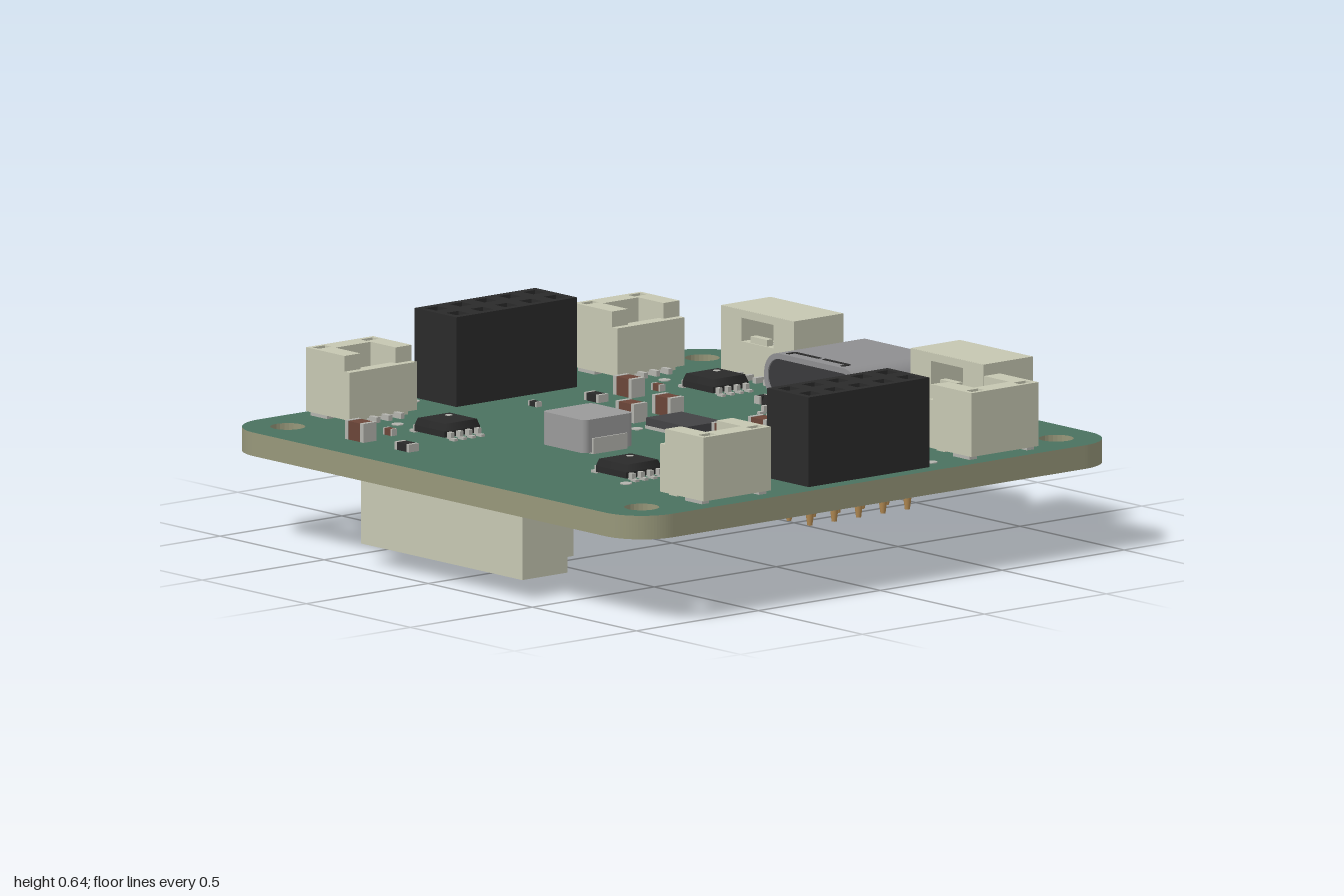
import * as THREE from 'three';

const mats = {};
const mat = c => (mats[c] ??= new THREE.MeshStandardMaterial({ color: c }));
const IVORY = 0xc6c7b2, BEIGE = 0xc6bba6, BLACK = 0x2a2a2a, STEEL = 0x8e8e90, TIN = 0xb4b4ae, GOLD = 0xb58c54, BROWN = 0x6b4538;
const BOTTOM = 0.28, TOP = 0.355;

function mesh(geo, color, name) {
  const m = new THREE.Mesh(geo, Array.isArray(color) ? color.map(mat) : mat(color));
  m.name = name;
  return m;
}
// Box given by its centre in x and z and its lower and upper y
function box(g, name, color, x, z, w, d, y0, y1) {
  const m = mesh(new THREE.BoxGeometry(w, y1 - y0, d), color, name);
  m.position.set(x, (y0 + y1) / 2, z);
  g.add(m);
  return m;
}
function rect(path, x, y, w, h, r = 0) {
  const a = x - w / 2, b = x + w / 2, c = y - h / 2, d = y + h / 2;
  path.moveTo(a + r, c).lineTo(b - r, c);
  if (r) path.absarc(b - r, c + r, r, -Math.PI / 2, 0);
  path.lineTo(b, d - r);
  if (r) path.absarc(b - r, d - r, r, 0, Math.PI / 2);
  path.lineTo(a + r, d);
  if (r) path.absarc(a + r, d - r, r, Math.PI / 2, Math.PI);
  path.lineTo(a, c + r);
  if (r) path.absarc(a + r, c + r, r, Math.PI, Math.PI * 1.5);
  return path;
}
const hole = (x, y, w, h, r) => rect(new THREE.Path(), x, y, w, h, r);
// Upright extrusion of a plan shape from y0 to y1
function slab(g, name, color, shape, y0, y1) {
  const geo = new THREE.ExtrudeGeometry(shape, { depth: y1 - y0, bevelEnabled: false, curveSegments: 12 });
  const m = mesh(geo.rotateX(-Math.PI / 2).translate(0, y0, 0), color, name);
  g.add(m);
  return m;
}
function part(name, build) {
  const g = new THREE.Group();
  g.name = name;
  build(g);
  return g;
}

// Upward-opening cable connector, solder legs toward +x
const uprightConnector = n => part('uprightConnector', g => {
  const W = 0.175 + 0.05 * (n - 1), cav = W - 0.13;
  const low = rect(new THREE.Shape(), 0, 0, 0.21, W);
  low.holes.push(hole(0.01, 0, 0.1, cav));
  for (const s of [-1, 1]) low.holes.push(hole(-0.075, s * (W / 2 - 0.04), 0.03, 0.05));
  slab(g, 'housing', IVORY, low, 0.012, 0.165);
  const rim = new THREE.Shape();
  [[-0.105, -W / 2], [0.08, -W / 2], [0.08, -cav / 2], [-0.04, -cav / 2], [-0.04, cav / 2], [0.08, cav / 2], [0.08, W / 2], [-0.105, W / 2]]
    .forEach(([x, y], i) => (i ? rim.lineTo(x, y) : rim.moveTo(x, y)));
  for (const s of [-1, 1]) rim.holes.push(hole(-0.075, s * (W / 2 - 0.04), 0.03, 0.05));
  slab(g, 'rim', IVORY, rim, 0.165, 0.215);
  box(g, 'foot', IVORY, 0.075, 0, 0.04, W * 0.8, 0, 0.02);
  for (let i = 0; i < n; i++) {
    const z = (i - (n - 1) / 2) * 0.05;
    box(g, 'leg', TIN, 0.105, z, 0.07, 0.016, 0, 0.018);
    box(g, 'contact', TIN, 0.02, z, 0.045, 0.014, 0.02, 0.12);
  }
  for (const s of [-1, 1]) box(g, 'anchor', TIN, -0.05, s * (W / 2 - 0.02), 0.08, 0.03, 0, 0.02);
});

// Side-entry cable connector, mouth toward -z
const sideConnector = () => part('sideConnector', g => {
  const W = 0.35;
  box(g, 'floor', IVORY, 0, 0, W, 0.2, 0.01, 0.045);
  box(g, 'roof', IVORY, 0, 0, W, 0.2, 0.195, 0.215);
  for (const s of [-1, 1]) {
    box(g, 'sideWall', IVORY, s * 0.155, 0, 0.04, 0.2, 0.01, 0.215);
    box(g, 'guide', IVORY, s * 0.115, 0.01, 0.04, 0.14, 0.045, 0.09);
    box(g, 'anchor', TIN, s * 0.175, -0.03, 0.02, 0.09, 0, 0.06);
  }
  const wall = rect(new THREE.Shape(), 0, 0.112, W, 0.205);
  wall.holes.push(hole(0, 0.152, 0.155, 0.075));
  const m = mesh(new THREE.ExtrudeGeometry(wall, { depth: 0.035, bevelEnabled: false }), IVORY, 'rearWall');
  m.position.z = 0.068;
  g.add(m);
  box(g, 'latch', IVORY, 0, 0.085, 0.08, 0.025, 0.11, 0.135);
  for (let i = 0; i < 4; i++) {
    const x = (i - 1.5) * 0.05;
    box(g, 'leg', TIN, x, 0.115, 0.016, 0.045, 0, 0.018);
    box(g, 'contact', TIN, x, 0.005, 0.016, 0.13, 0.075, 0.09);
  }
});

// Two by five socket header with pins through the board
const socketHeader = () => part('socketHeader', g => {
  const top = rect(new THREE.Shape(), 0, 0, 0.2, 0.495);
  box(g, 'body', BLACK, 0, 0, 0.2, 0.495, 0, 0.22);
  for (const x of [-0.05, 0.05]) for (let i = -2; i <= 2; i++) {
    top.holes.push(hole(x, i * 0.1, 0.05, 0.05));
    box(g, 'contact', GOLD, x, i * 0.1, 0.012, 0.022, 0.22, 0.265);
    const pin = mesh(new THREE.CylinderGeometry(0.016, 0.008, 0.06, 8), GOLD, 'pin');
    pin.position.set(x, BOTTOM - TOP - 0.03, i * 0.1);
    g.add(pin);
  }
  slab(g, 'socketFace', BLACK, top, 0.22, 0.285);
});

// Chip with rows of gull-wing legs along its two x sides
const leggedChip = (w, d, h, legs, pitch) => part('leggedChip', g => {
  box(g, 'body', BLACK, 0, 0, w, d, 0.008, h * 0.55);
  const cap = mesh(new THREE.CylinderGeometry(Math.SQRT1_2 * 0.9, Math.SQRT1_2, 1, 4, 1).rotateY(Math.PI / 4), BLACK, 'bodyTop');
  cap.scale.set(w, h * 0.45, d);
  cap.position.y = h * 0.775;
  g.add(cap);
  const dot = mesh(new THREE.CylinderGeometry(0.012, 0.012, 0.002, 12), TIN, 'pinMark');
  dot.position.set(-w * 0.25, h, -d * 0.25);
  g.add(dot);
  for (const s of [-1, 1]) for (let i = 0; i < legs; i++) {
    const z = (i - (legs - 1) / 2) * pitch;
    box(g, 'legShoulder', TIN, s * (w / 2 + 0.008), z, 0.02, 0.015, 0.004, h * 0.5);
    box(g, 'legFoot', TIN, s * (w / 2 + 0.022), z, 0.026, 0.015, 0, 0.008);
  }
});

const flatChip = (w, d, h, color, edge) => part('flatChip', g => {
  box(g, 'body', color, 0, 0, w, d, 0.004, h);
  box(g, 'pads', edge, 0, 0, w + 0.006, d + 0.006, 0, 0.01);
});

// Small end-terminated passive, long side on x
const passive = (w, d, h, color) => part('passive', g => {
  box(g, 'body', color, 0, 0, w * 0.66, d * 0.97, 0, h * 0.98);
  for (const s of [-1, 1]) box(g, 'terminal', TIN, s * w * 0.415, 0, w * 0.17, d, 0, h);
});

// Metal-shelled data port, mouth toward -z
const dataPort = () => part('dataPort', g => {
  const shell = rect(new THREE.Shape(), 0, 0.078, 0.45, 0.152, 0.07);
  shell.holes.push(hole(0, 0.078, 0.415, 0.117, 0.055));
  g.add(mesh(new THREE.ExtrudeGeometry(shell, { depth: 0.36, bevelEnabled: false, curveSegments: 12 }).translate(0, 0, -0.18), STEEL, 'shell'));
  const rear = rect(new THREE.Shape(), 0, 0.078, 0.415, 0.117, 0.055);
  g.add(mesh(new THREE.ExtrudeGeometry(rear, { depth: 0.17, bevelEnabled: false }).translate(0, 0, 0.005), 0x3a3a3c, 'rearPlug'));
  box(g, 'tongue', BLACK, 0, -0.08, 0.3, 0.17, 0.06, 0.095);
  box(g, 'base', 0x3a3a3c, 0, 0.12, 0.36, 0.11, 0, 0.03);
  for (const s of [-1, 1]) {
    box(g, 'shellSlot', BLACK, s * 0.07, 0.135, 0.12, 0.014, 0.15, 0.156);
    box(g, 'shellSlotEnd', BLACK, s * 0.13, 0.15, 0.014, 0.03, 0.15, 0.156);
    for (const z of [-0.06, 0.1]) box(g, 'shellLeg', TIN, s * 0.222, z, 0.018, 0.06, -0.1, 0.09);
  }
  for (let i = 0; i < 12; i++) box(g, 'contact', 0xc0a030, (i - 5.5) * 0.027, 0.185, 0.014, 0.03, 0, 0.012);
});

// Two-pin power connector, given in board coordinates
const powerConnector = () => part('powerConnector', g => {
  const side = [[-0.78, 0.28], [-0.78, 0.12], [-0.7, 0.075], [-0.7, 0.003], [-0.41, 0.003], [-0.41, 0.1], [-0.51, 0.1], [-0.51, 0.12], [-0.43, 0.12], [-0.43, 0.14], [-0.41, 0.14], [-0.41, 0.26], [-0.47, 0.28]];
  for (const z of [-0.995, -0.665]) {
    const s = new THREE.Shape(side.map(p => new THREE.Vector2(...p)));
    g.add(mesh(new THREE.ExtrudeGeometry(s, { depth: 0.06, bevelEnabled: false }).translate(0, 0, z), BEIGE, 'sideWall'));
  }
  box(g, 'floorPlate', BEIGE, -0.555, -0.8, 0.29, 0.28, 0.003, 0.035);
  box(g, 'roofPlate', BEIGE, -0.6, -0.8, 0.3, 0.28, 0.235, 0.275);
  box(g, 'backWall', BEIGE, -0.56, -0.8, 0.08, 0.28, 0.03, 0.24);
  for (const z of [-0.85, -0.75]) {
    box(g, 'contact', 0x55504a, -0.55, z, 0.16, 0.025, 0.11, 0.135);
    box(g, 'leg', TIN, -0.47, z, 0.16, 0.03, 0.2, 0.28);
  }
});

export function createModel() {
  const root = part('circuitBoardModel', () => {});
  // Places a part on the top or, flipped, on the underside
  const put = (p, x, z, turn = 0, under = false) => {
    p.position.set(x, under ? BOTTOM : TOP, z);
    p.rotation.set(under ? Math.PI : 0, turn, 0);
    root.add(p);
  };
  const H = Math.PI / 2;

  // Board with rounded corners and mounting holes
  const outline = rect(new THREE.Shape(), 0, 0, 1.99, 1.99, 0.15);
  for (const x of [-0.85, 0.85]) for (const y of [-0.85, 0.85]) outline.holes.push(new THREE.Path().absarc(x, y, 0.055, 0, Math.PI * 2));
  slab(root, 'board', [0x4a7260, 0x97977a], outline, BOTTOM, TOP);

  // Connectors
  for (const s of [-1, 1]) {
    put(socketHeader(), s * 0.846, 0);
    for (const z of [-0.55, 0.548]) put(uprightConnector(3), s * 0.85, z, s > 0 ? Math.PI : 0);
    put(sideConnector(), s * 0.455, -0.842);
  }
  put(dataPort(), 0, -0.75);
  put(uprightConnector(13), 0, 0.84, -H, true);
  root.add(powerConnector());

  // Chips on top
  for (const [x, z] of [[-0.435, -0.55], [0.43, -0.455], [-0.435, 0.55], [0.43, 0.545]]) put(leggedChip(0.145, 0.145, 0.05, 4, 0.037), x, z);
  put(leggedChip(0.075, 0.14, 0.05, 3, 0.045), 0, -0.465, H);
  put(flatChip(0.2, 0.145, 0.035, 0x434345, TIN), 0, -0.052);
  const inductor = part('inductor', g => {
    slab(g, 'core', 0x9a9a9a, rect(new THREE.Shape(), 0, 0, 0.205, 0.205, 0.02), 0.005, 0.11);
    box(g, 'terminals', TIN, 0, 0, 0.216, 0.14, 0, 0.05);
  });
  put(inductor, 0, 0.345);

  // Passives on top: large brown, medium black, small ones
  for (const [x, z] of [[-0.54, -0.285], [-0.23, -0.18], [-0.23, -0.03], [-0.23, 0.12], [0.23, -0.18], [0.23, -0.03], [0.54, -0.285], [0.54, 0.285], [-0.54, 0.815]])
    put(passive(0.088, 0.055, 0.06, BROWN), x, z);
  for (const [x, z] of [[-0.54, -0.15], [0.54, -0.15], [0.54, 0.145], [-0.32, 0.815]]) put(passive(0.07, 0.04, 0.025, BLACK), x, z);
  for (const [x, z] of [[-0.54, -0.405], [0.23, 0.12], [0.54, -0.6], [-0.54, 0.695]]) put(passive(0.042, 0.022, 0.022, BROWN), x, z);
  for (const [x, z] of [[-0.425, 0], [-0.6, 0.05], [-0.425, 0.12], [0.54, 0.4]]) put(passive(0.042, 0.022, 0.016, BLACK), x, z);
  for (const x of [-0.175, 0.175]) put(passive(0.045, 0.026, 0.025, BLACK), x, -0.52, H);

  // Round test pads
  for (const [x, z] of [[-0.335, -0.71], [-0.54, -0.655], [-0.65, -0.525], [0.1, -0.525], [0.575, -0.71], [0.65, -0.575], [0.535, -0.35], [0.895, -0.3], [-0.11, 0.05], [-0.9, 0.29], [-0.54, 0.45], [-0.65, 0.57], [0.65, 0.52], [0.535, 0.645]])
    put(mesh(new THREE.CylinderGeometry(0.019, 0.019, 0.006, 16), TIN, 'testPad'), x, z);

  // Underside parts
  const tantalum = part('tantalumCapacitor', g => {
    box(g, 'body', 0xc09a1c, 0, 0, 0.135, 0.16, 0.008, 0.105);
    for (const s of [-1, 1]) box(g, 'terminal', TIN, 0, s * 0.08, 0.09, 0.008, 0, 0.05);
  });
  put(tantalum, 0.467, 0.275, 0, true);
  put(leggedChip(0.075, 0.13, 0.055, 3, 0.045), 0.3, -0.34, H, true);
  put(leggedChip(0.075, 0.13, 0.055, 3, 0.045), 0.27, -0.19, H, true);
  put(leggedChip(0.07, 0.12, 0.055, 3, 0.045), -0.63, -0.32, 0, true);
  put(flatChip(0.15, 0.15, 0.035, 0x434345, TIN), -0.34, 0.07, 0, true);
  put(flatChip(0.16, 0.2, 0.04, BLACK, 0xcccccc), -0.42, -0.33, 0, true);
  for (const [x, z] of [[0.19, 0.05], [-0.18, 0.26], [-0.15, 0.02], [-0.16, 0.14]]) put(passive(0.088, 0.055, 0.06, BROWN), x, z, H, true);
  for (const [x, z] of [[0.36, -0.64], [0.21, -0.68], [0.02, -0.6], [-0.16, -0.49], [-0.3, -0.1], [-0.5, -0.12]]) put(passive(0.045, 0.026, 0.02, BLACK), x, z, 0, true);
  return root;
}
